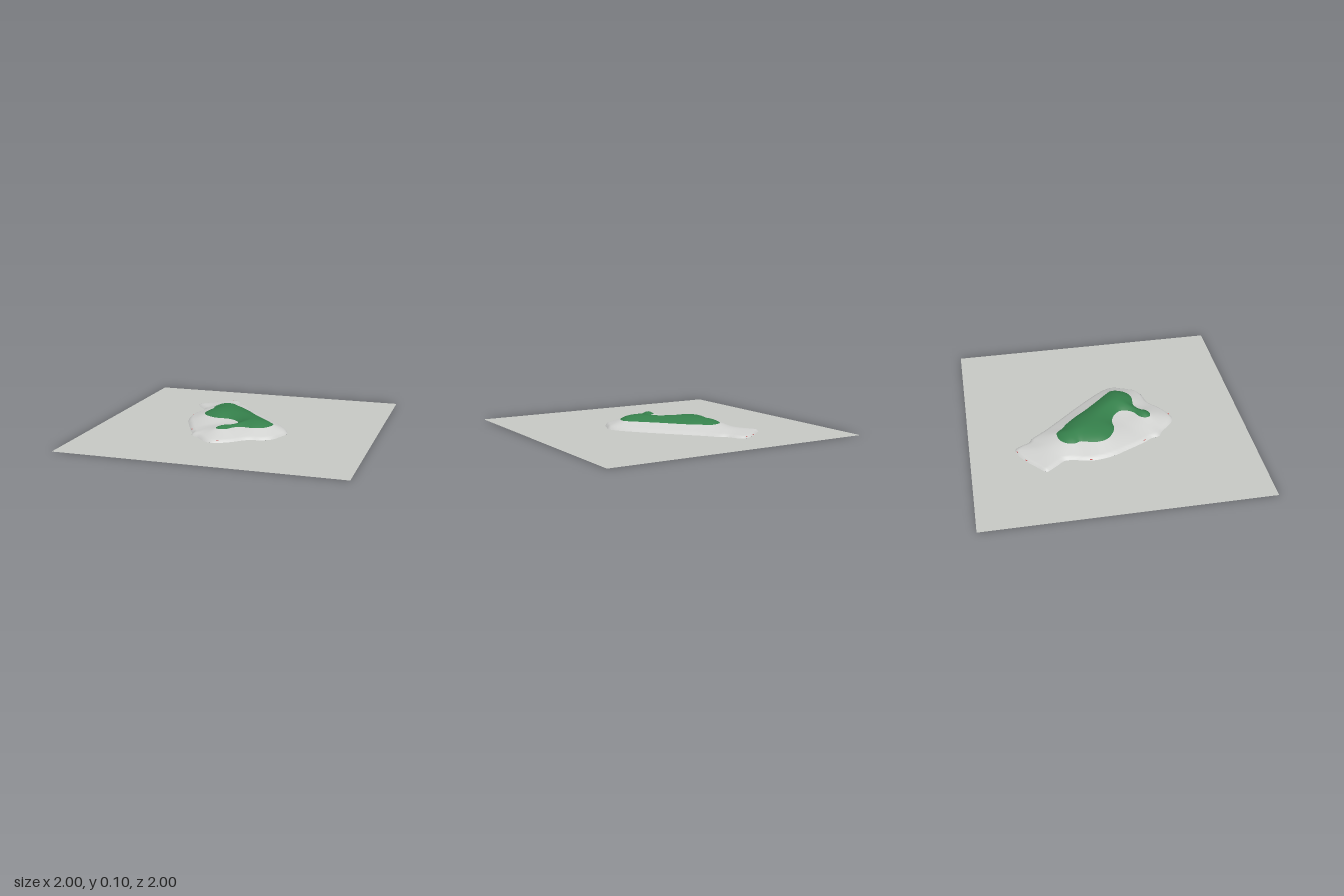
import * as THREE from 'three';
import { mergeVertices } from 'three/addons/utils/BufferGeometryUtils.js';

const material = (name, color) => {
  const m = new THREE.MeshStandardMaterial({ color, side: THREE.DoubleSide });
  m.name = name;
  return m;
};

// Closed smooth contour through flat [x, z, x, z, ...] pairs
function contour(pairs, count) {
  const pts = [];
  for (let i = 0; i < pairs.length; i += 2) pts.push(new THREE.Vector3(pairs[i], 0, pairs[i + 1]));
  const curve = new THREE.CatmullRomCurve3(pts, true, 'centripetal');
  const points = curve.getSpacedPoints(count).slice(0, count);
  return { points, step: curve.getLength() / count };
}

// Exact signed distance to a contour, positive inside
function signedDistance({ points }, x, z) {
  let best = Infinity, inside = false;
  for (let i = 0, j = points.length - 1; i < points.length; j = i++) {
    const a = points[j], b = points[i];
    const ex = b.x - a.x, ez = b.z - a.z;
    const t = THREE.MathUtils.clamp(((x - a.x) * ex + (z - a.z) * ez) / (ex * ex + ez * ez), 0, 1);
    best = Math.min(best, Math.hypot(a.x + ex * t - x, a.z + ez * t - z));
    if ((a.z > z) !== (b.z > z) && x < a.x + ((z - a.z) / ez) * ex) inside = !inside;
  }
  return inside ? best : -best;
}

// Rounded distance that has no sharp ridges in the middle
function softDistance({ points, step }, x, z, exact) {
  let sum = 0;
  for (const p of points) sum += 1 / Math.pow((p.x - x) ** 2 + (p.z - z) ** 2 + 1e-8, 3);
  return Math.min(exact, Math.pow((sum * step * 8) / (3 * Math.PI), -0.2));
}

const SHORE = contour([
  -0.5, -0.49, -0.44, -0.55, -0.36, -0.62, -0.28, -0.67, -0.23, -0.68, -0.195, -0.64, -0.165, -0.575,
  -0.13, -0.555, -0.05, -0.45, 0.08, -0.3, 0.22, -0.14, 0.33, 0, 0.375, 0.08, 0.385, 0.13,
  0.36, 0.2, 0.32, 0.29, 0.26, 0.33, 0.16, 0.355, 0.06, 0.44, -0.03, 0.49, -0.07, 0.495,
  -0.12, 0.47, -0.2, 0.39, -0.255, 0.35, -0.265, 0.3, -0.3, 0.24, -0.37, 0.09, -0.41, 0,
  -0.435, -0.13, -0.43, -0.2, -0.41, -0.28, -0.405, -0.35, -0.44, -0.4, -0.485, -0.46], 180);

const GREEN = contour([
  -0.16, -0.375, -0.235, -0.365, -0.28, -0.325, -0.295, -0.26, -0.278, -0.22, -0.29, -0.18, -0.305, -0.1,
  -0.285, -0.03, -0.225, 0.02, -0.17, 0.04, -0.085, 0.04, -0.02, 0.07, 0.02, 0.12, 0.015, 0.17,
  -0.015, 0.215, -0.065, 0.245, -0.09, 0.285, -0.08, 0.32, -0.045, 0.33, -0.005, 0.31, 0.02, 0.265,
  0.075, 0.23, 0.165, 0.235, 0.23, 0.21, 0.27, 0.15, 0.275, 0.095, 0.245, 0.055, 0.165, -0.03,
  0.075, -0.13, 0.01, -0.21, -0.065, -0.29, -0.115, -0.33, -0.14, -0.36], 160);

// Low step at the shore, an even slope up to the green line, then rounded hills
function height(x, z) {
  const shore = Math.max(0, signedDistance(SHORE, x, z));
  const green = signedDistance(GREEN, x, z);
  const g = softDistance(GREEN, x, z, Math.abs(green));
  if (green >= 0) return 0.055 + 0.05 * (1 - Math.exp(-13 * g));
  const s = softDistance(SHORE, x, z, shore);
  return 0.012 * THREE.MathUtils.smoothstep(shore, -0.004, 0.018) * Math.min(1, shore / 0.004)
    + 0.043 * (s / (s + g + 1e-6));
}

// Keep the part of a polygon where sign * field is positive
function clip(poly, key, sign) {
  const out = [];
  poly.forEach((a, i) => {
    const b = poly[(i + 1) % poly.length];
    const fa = a[key] * sign, fb = b[key] * sign;
    if (fa >= 0) out.push(a);
    if (fa * fb < 0) {
      const t = fa / (fa - fb), p = {};
      for (const k of ['x', 'z', 'shore', 'green']) p[k] = a[k] + (b[k] - a[k]) * t;
      out.push(p);
    }
  });
  return out;
}

function terrainGeometry(polys) {
  const pos = [], cache = new Map();
  const push = (p) => {
    const key = p.x.toFixed(5) + ',' + p.z.toFixed(5);
    if (!cache.has(key)) cache.set(key, height(p.x, p.z));
    pos.push(p.x, cache.get(key), p.z);
  };
  for (const poly of polys)
    for (let i = 1; i + 1 < poly.length; i++) [poly[0], poly[i], poly[i + 1]].forEach(push);
  const geo = new THREE.BufferGeometry();
  geo.setAttribute('position', new THREE.Float32BufferAttribute(pos, 3));
  const merged = mergeVertices(geo, 1e-5);
  merged.computeVertexNormals();
  return merged;
}

export function createModel() {
  const group = new THREE.Group();
  const add = (name, geo, mat) => {
    const mesh = new THREE.Mesh(geo, mat);
    mesh.name = name;
    group.add(mesh);
    return mesh;
  };

  // Flat square ground, open beneath the hill
  const square = new THREE.Shape([[-1, -1], [1, -1], [1, 1], [-1, 1]].map(([x, y]) => new THREE.Vector2(x, y)));
  square.holes.push(new THREE.Path(SHORE.points.map((p) => new THREE.Vector2(p.x, -p.z))));
  add('ground', new THREE.ShapeGeometry(square).rotateX(-Math.PI / 2), material('groundGrey', 0xc8cac6));

  // Height grid, cut along the shore and the green line
  const cell = 0.0125, x0 = -0.525, z0 = -0.7, nx = 75, nz = 98;
  const nodes = [];
  for (let j = 0; j <= nz; j++)
    for (let i = 0; i <= nx; i++) {
      const x = x0 + i * cell, z = z0 + j * cell;
      nodes.push({ x, z, shore: signedDistance(SHORE, x, z), green: signedDistance(GREEN, x, z) });
    }
  const slopes = [], tops = [];
  for (let j = 0; j < nz; j++)
    for (let i = 0; i < nx; i++) {
      const a = nodes[j * (nx + 1) + i], b = nodes[j * (nx + 1) + i + 1];
      const c = nodes[(j + 1) * (nx + 1) + i], d = nodes[(j + 1) * (nx + 1) + i + 1];
      for (const tri of [[a, c, b], [b, c, d]]) {
        const land = clip(tri, 'shore', 1);
        if (land.length < 3) continue;
        const low = clip(land, 'green', -1), high = clip(land, 'green', 1);
        if (low.length > 2) slopes.push(low);
        if (high.length > 2) tops.push(high);
      }
    }
  add('slopes', terrainGeometry(slopes), material('slopeGrey', 0xd2d3d1));
  add('greenHilltop', terrainGeometry(tops), material('hillGreen', 0x35804b));

  // Tiny red flecks along the shore: x, z, heading
  const red = material('shoreRed', 0xd06060);
  const flecks = [[-0.43, -0.17, 1.5], [-0.29, 0.24, -1.1], [-0.02, 0.475, 0.5], [-0.36, -0.615, 0.7], [-0.265, -0.667, 0.5]];
  for (const [x, z, turn] of flecks) {
    const fleck = add('shoreFleck', new THREE.BoxGeometry(0.016, 0.003, 0.005), red);
    fleck.position.set(x, height(x, z) + 0.0015, z);
    fleck.rotation.y = turn;
  }
  return group;
}
